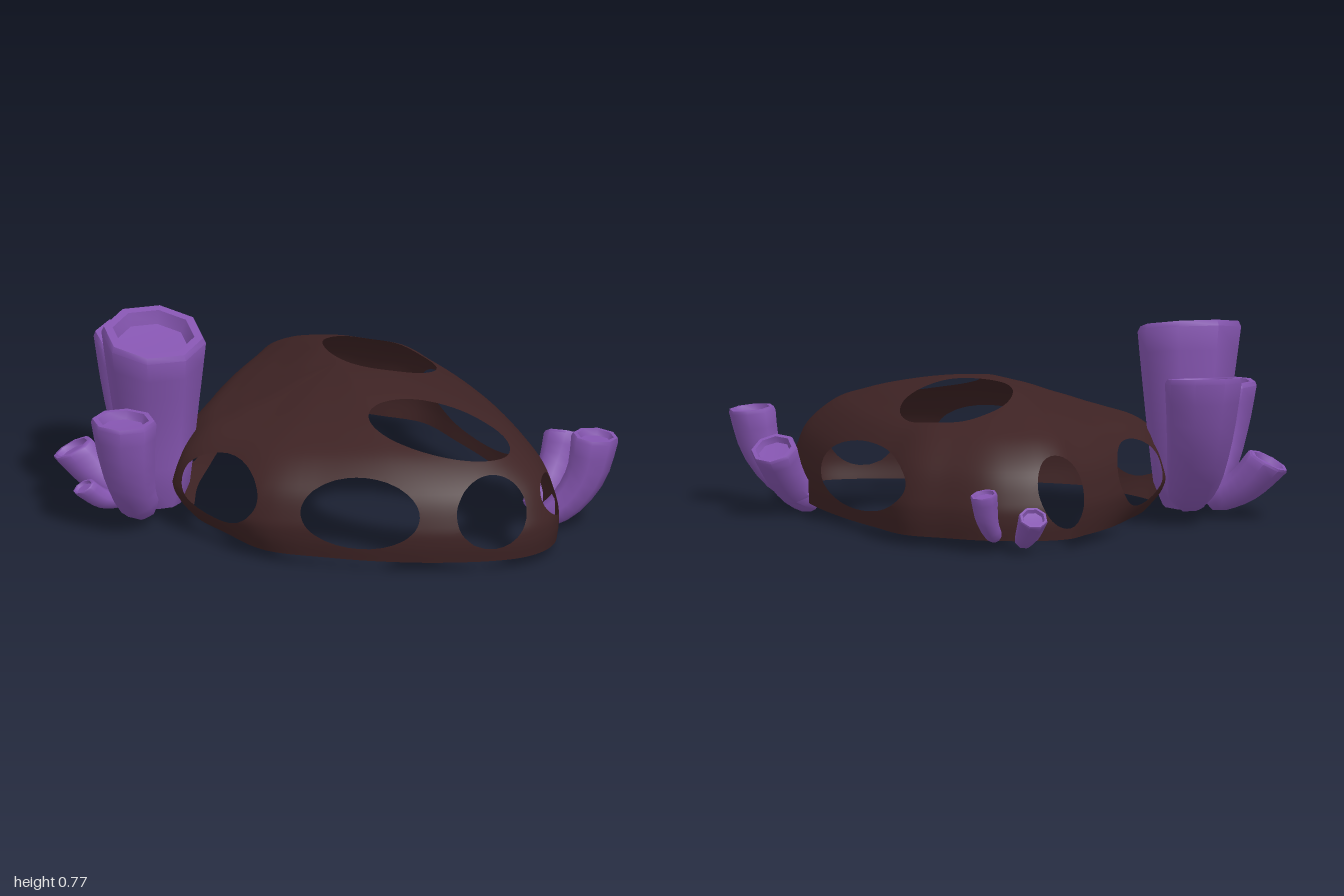
import * as THREE from 'three';
import { mergeVertices, toCreasedNormals } from 'three/addons/utils/BufferGeometryUtils.js';

const V = (x, y, z) => new THREE.Vector3(x, y, z);
const UP = V(0, 1, 0);

// Ground outline of the shell: x, z pairs, from the back round by +x
const OUTLINE = [
  [0.05, -0.81], [0.2, -0.79], [0.3, -0.75], [0.42, -0.66], [0.55, -0.55], [0.62, -0.33],
  [0.68, -0.1], [0.73, 0.2], [0.745, 0.5], [0.74, 0.64], [0.7, 0.8], [0.64, 0.88],
  [0.55, 0.93], [0.42, 0.94], [0.2, 0.9], [0, 0.83], [-0.2, 0.73], [-0.43, 0.59],
  [-0.55, 0.37], [-0.63, 0.17], [-0.59, 0], [-0.53, -0.15], [-0.4, -0.35],
  [-0.27, -0.53], [-0.13, -0.69], [-0.05, -0.78],
];
// Dome section: share of the outline radius, height
const SECTION = [
  [0, 0.56], [0.25, 0.552], [0.5, 0.508], [0.65, 0.47], [0.8, 0.415],
  [0.93, 0.315], [0.99, 0.2], [1, 0.13], [0.99, 0.06],
];

// Openings: centre, direction of the long half-axis (x, z), half sizes, seen from above or the side
const hole = (c, dir, a, b, fromAbove = false) => {
  const t = V(dir[0], 0, dir[1]).normalize();
  const side = V(-t.z, 0, t.x);
  return { c: V(...c), t, a, b, u: fromAbove ? side : UP, n: fromAbove ? UP : side };
};
const HOLES = [
  hole([0.265, 0.5, -0.15], [0, 1], 0.28, 0.212, true),
  hole([0.3, 0.48, 0.57], [0.83, 0.56], 0.28, 0.158, true),
  hole([-0.07, 0.235, 0.77], [0.9, 0.42], 0.23, 0.128),
  hole([0.41, 0.24, 0.91], [1, 0.2], 0.135, 0.13),
  hole([0.7, 0.24, 0.76], [-0.35, 1], 0.115, 0.075),
  hole([-0.53, 0.245, 0.39], [0.5, 1], 0.21, 0.12),
  hole([-0.43, 0.235, -0.3], [0.6, -0.85], 0.215, 0.125),
  hole([-0.02, 0.235, -0.74], [1, -0.45], 0.11, 0.135),
  hole([0.64, 0.235, -0.17], [0.2, 0.75], 0.375, 0.125),
];

// Positive on solid shell, negative inside an opening
function solidity(p) {
  let f = Infinity;
  for (const h of HOLES) {
    const d = p.clone().sub(h.c);
    f = Math.min(f, (d.dot(h.t) / h.a) ** 2 + (d.dot(h.u) / h.b) ** 2 + (d.dot(h.n) / 0.4) ** 2 - 1);
  }
  return f;
}

function shellGeometry(around = 130, rings = 48) {
  const rim = new THREE.CatmullRomCurve3(OUTLINE.map(([x, z]) => V(x, 0, z)), true);
  const section = new THREE.SplineCurve(SECTION.map(([r, y]) => new THREE.Vector2(r, y)));
  const cx = 0.06;
  const grid = [];
  for (let i = 0; i < around; i++) {
    const edge = rim.getPoint(i / around);
    const lean = Math.max(0, cx - edge.x) / Math.hypot(edge.x - cx, edge.z);
    const column = [];
    for (let j = 0; j <= rings; j++) {
      const s = section.getPoint(j / rings);
      // The -x side slopes more steeply and tucks in at the foot
      const y = s.y - 0.055 * lean * Math.sin(Math.PI * Math.min(1, s.x));
      const tuck = 0.08 * lean * lean * Math.max(0, (0.19 - y) / 0.13) ** 1.5;
      const p = V(cx + (edge.x - cx) * s.x + tuck, y, edge.z * s.x);
      column.push({ p, f: solidity(p) });
    }
    grid.push(column);
  }
  const pos = [];
  // Keep only the solid part of each triangle
  const clip = (tri) => {
    const poly = [];
    tri.forEach((a, k) => {
      const b = tri[(k + 1) % 3];
      if (a.f >= 0) poly.push(a.p);
      if ((a.f >= 0) !== (b.f >= 0)) poly.push(a.p.clone().lerp(b.p, a.f / (a.f - b.f)));
    });
    for (let k = 2; k < poly.length; k++) {
      for (const p of [poly[0], poly[k - 1], poly[k]]) pos.push(p.x, p.y, p.z);
    }
  };
  for (let i = 0; i < around; i++) {
    const l = grid[i], r = grid[(i + 1) % around];
    for (let j = 0; j < rings; j++) {
      if (j > 0) clip([l[j], r[j], r[j + 1]]);
      clip([l[j], r[j + 1], l[j + 1]]);
    }
  }
  const g = new THREE.BufferGeometry();
  g.setAttribute('position', new THREE.Float32BufferAttribute(pos, 3));
  const merged = mergeVertices(g, 1e-5);
  merged.computeVertexNormals();
  return merged;
}

// Flared tube with a recessed mouth, bent along a path; tip is the way the mouth faces
function tubeGeometry(path, r0, r1, tip) {
  const curve = new THREE.CatmullRomCurve3(path.map((p) => V(...p)));
  const profile = [[0, 0], [r0 * 0.8, 0]];
  for (let k = 1; k <= 8; k++) {
    const t = k / 8;
    profile.push([r0 + (r1 - r0) * t ** 0.8, t * 0.97]);
  }
  // Heights above 1 stand for depth below the mouth
  profile.push([r1 * 0.95, 1], [r1 * 0.78, 1], [r1 * 0.68, 1 + r1 * 0.25], [0, 1 + r1 * 0.3]);
  const g = new THREE.LatheGeometry(profile.map(([x, y]) => new THREE.Vector2(x, y)), 8, Math.PI / 8);
  const pos = g.attributes.position;
  const mouth = V(...tip).normalize();
  const v = V(0, 0, 0), q = new THREE.Quaternion();
  for (let i = 0; i < pos.count; i++) {
    v.fromBufferAttribute(pos, i);
    const t = Math.min(1, v.y), depth = v.y - t;
    const n = curve.getTangent(t).lerp(mouth, t * t).normalize();
    q.setFromUnitVectors(UP, n);
    v.y = -depth;
    v.applyQuaternion(q).add(curve.getPoint(t));
    pos.setXYZ(i, v.x, v.y, v.z);
  }
  g.deleteAttribute('uv');
  return toCreasedNormals(g, 0.9);
}

// Name, path, foot radius, mouth radius, mouth direction
const TUBES = [
  ['largeTube', [[-0.64, 0.06, 0], [-0.65, 0.4, -0.025], [-0.665, 0.755, 0]], 0.1, 0.2, [0, 1, 0.22]],
  ['backTube', [[-0.64, 0.1, -0.08], [-0.64, 0.22, -0.22], [-0.64, 0.4, -0.33], [-0.64, 0.6, -0.39]], 0.08, 0.148, [0, 1, 0.12]],
  ['frontTube', [[-0.72, 0.08, 0.08], [-0.79, 0.18, 0.16], [-0.83, 0.34, 0.21], [-0.845, 0.5, 0.22]], 0.06, 0.125, [0, 1, 0]],
  ['lowTube', [[-0.74, 0.08, -0.04], [-0.85, 0.15, -0.12], [-0.935, 0.25, -0.18]], 0.05, 0.083, [-0.5, 1, -0.2]],
  ['tinyTube', [[-0.78, 0.09, 0], [-0.87, 0.11, 0.02], [-0.95, 0.17, 0.03]], 0.03, 0.045, [-0.6, 1, 0]],
  ['sideTubeFront', [[0.7, 0.06, 0.55], [0.79, 0.12, 0.57], [0.87, 0.24, 0.59], [0.905, 0.395, 0.595]], 0.04, 0.09, [0.1, 1, 0]],
  ['sideTubeBack', [[0.7, 0.05, 0.4], [0.77, 0.1, 0.38], [0.84, 0.19, 0.32], [0.885, 0.285, 0.28]], 0.045, 0.09, [0.35, 1, -0.5]],
  ['rearTubeLow', [[0.14, 0.055, -0.77], [0.13, 0.09, -0.83], [0.12, 0.165, -0.9]], 0.03, 0.056, [0, 1, -0.8]],
  ['rearTubeHigh', [[0.24, 0.07, -0.77], [0.28, 0.14, -0.81], [0.3, 0.25, -0.84]], 0.028, 0.053, [0.2, 1, -0.2]],
];

export function createModel() {
  const brown = new THREE.MeshStandardMaterial({ color: 0x3e2324, side: THREE.DoubleSide });
  brown.name = 'darkBrown';
  const purple = new THREE.MeshStandardMaterial({ color: 0x8555b0 });
  purple.name = 'purple';

  const model = new THREE.Group();
  model.name = 'reefShelter';
  const add = (name, geometry, material) => {
    const mesh = new THREE.Mesh(geometry, material);
    mesh.name = name;
    model.add(mesh);
  };
  add('rockShell', shellGeometry(), brown);
  for (const [name, path, r0, r1, tip] of TUBES) add(name, tubeGeometry(path, r0, r1, tip), purple);
  return model;
}
